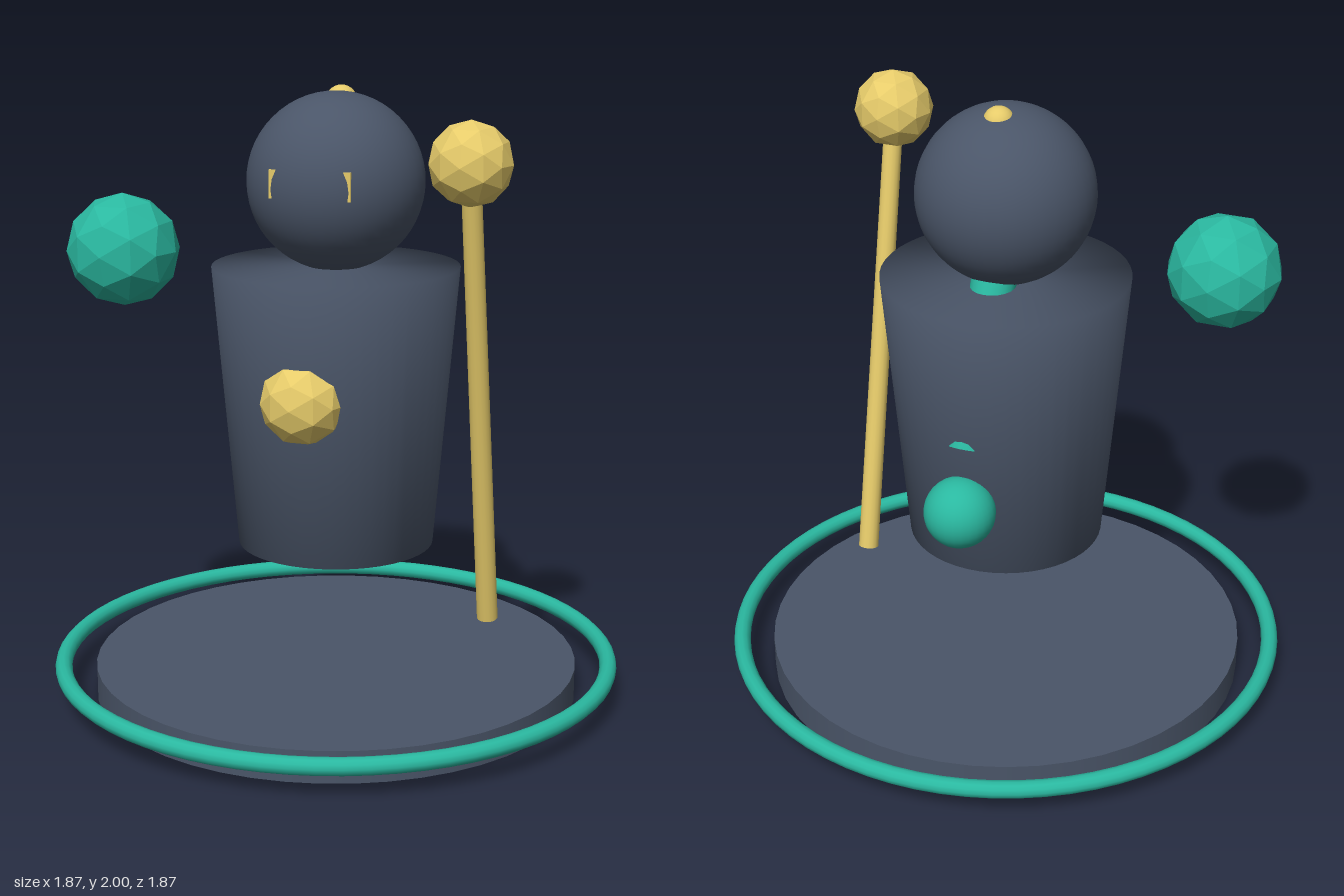
import * as THREE from 'three';

const slate = new THREE.MeshStandardMaterial({ color: 0x4a5568 });
const teal = new THREE.MeshStandardMaterial({ color: 0x2ab8a0 });
const gold = new THREE.MeshStandardMaterial({ color: 0xe6cb6a });
const faceted = (material) => {
  const m = material.clone();
  m.flatShading = true;
  return m;
};
const tealFacets = faceted(teal);
const goldFacets = faceted(gold);

export function createModel() {
  const model = new THREE.Group();

  const add = (name, geometry, material, x = 0, y = 0, z = 0) => {
    const mesh = new THREE.Mesh(geometry, material);
    mesh.name = name;
    mesh.position.set(x, y, z);
    model.add(mesh);
    return mesh;
  };

  // Straight round rod between two points
  const rod = (name, from, to, rBottom, rTop, sides, material) => {
    const a = new THREE.Vector3(...from);
    const b = new THREE.Vector3(...to);
    const dir = b.clone().sub(a);
    const geometry = new THREE.CylinderGeometry(rTop, rBottom, dir.length(), sides);
    const mesh = add(name, geometry, material, ...a.clone().add(b).multiplyScalar(0.5));
    mesh.quaternion.setFromUnitVectors(new THREE.Vector3(0, 1, 0), dir.normalize());
    return mesh;
  };

  // Round base with a floating ring about it
  add('base', new THREE.CylinderGeometry(0.8, 0.8, 0.105, 48), slate, 0, 0.0525, 0);
  const ring = add('baseRing', new THREE.TorusGeometry(0.908, 0.028, 12, 72), teal, 0, 0.105, 0);
  ring.rotation.x = Math.PI / 2;

  // Tapered body, closed at both ends, with soft shading over the rims
  const profile = [[0, 0.51], [0.32, 0.51], [0.4, 1.43], [0, 1.43]].map(
    ([r, y]) => new THREE.Vector2(r, y)
  );
  add('body', new THREE.LatheGeometry(profile, 48), slate);
  add('chestGem', new THREE.IcosahedronGeometry(0.14, 1), goldFacets, 0, 1.05, 0.31);

  // Head with a sunken visor and a crown bead
  add('head', new THREE.SphereGeometry(0.285, 40, 28), slate, 0, 1.7, 0);
  add('visor', new THREE.BoxGeometry(0.266, 0.09, 0.06), gold, 0, 1.717, 0.225);
  add('crownBead', new THREE.SphereGeometry(0.05, 20, 14), gold, 0, 1.95, -0.055);

  // Braid running down the back, and its end bead
  rod('braid', [0, 0.955, -0.306], [0, 1.6, -0.03], 0.072, 0.072, 20, teal);
  add('braidBead', new THREE.SphereGeometry(0.115, 28, 20), teal, 0, 0.76, -0.38);

  // Leaning staff with a faceted head
  rod('staff', [0.52, 0.294, -0.005], [0.52, 1.815, 0.3], 0.034, 0.031, 16, gold);
  add('staffHead', new THREE.IcosahedronGeometry(0.13, 1), goldFacets, 0.52, 1.81, 0.295);

  // Floating orb
  add('orb', new THREE.IcosahedronGeometry(0.183, 1), tealFacets, -0.66, 1.475, 0.185);

  return model;
}
